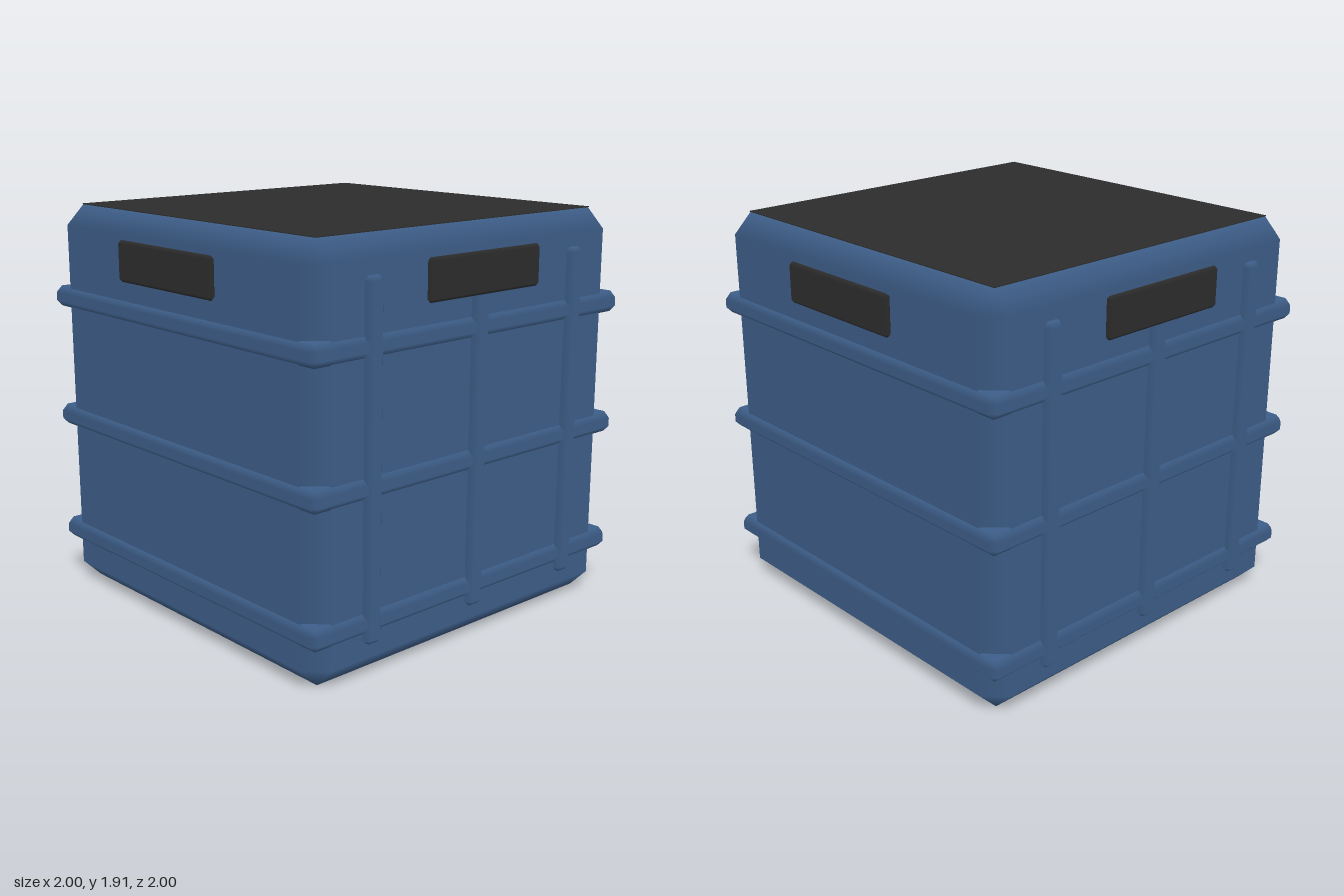
import * as THREE from 'three';
import { ConvexGeometry } from 'three/addons/geometries/ConvexGeometry.js';

// Box with single-step bevels; normals follow the flat faces so bevels shade smoothly
function bevelBox(w, h, d, bevel) {
  const half = [w / 2, h / 2, d / 2];
  const points = [];
  for (const sx of [-1, 1]) for (const sy of [-1, 1]) for (const sz of [-1, 1]) {
    for (let axis = 0; axis < 3; axis++) {
      const c = half.map((v, i) => (i === axis ? v : v - bevel));
      points.push(new THREE.Vector3(sx * c[0], sy * c[1], sz * c[2]));
    }
  }
  const geometry = new ConvexGeometry(points);
  const pos = geometry.attributes.position;
  const normal = geometry.attributes.normal;
  for (let i = 0; i < pos.count; i++) {
    const p = [pos.getX(i), pos.getY(i), pos.getZ(i)];
    const n = p.map((v, a) => (Math.abs(v) > half[a] - bevel / 2 ? Math.sign(v) : 0));
    normal.setXYZ(i, n[0], n[1], n[2]);
  }
  return geometry;
}

export function createModel() {
  const model = new THREE.Group();
  model.name = 'crate';
  const blue = new THREE.MeshStandardMaterial({ color: 0x3e5f8a });
  blue.name = 'blue';
  const black = new THREE.MeshStandardMaterial({ color: 0x2d2d2d });
  black.name = 'black';

  const add = (name, geometry, material, x, y, z, turn = 0) => {
    const mesh = new THREE.Mesh(geometry, material);
    mesh.name = name;
    mesh.position.set(x, y, z);
    mesh.rotation.y = turn;
    model.add(mesh);
  };

  // Main body and its dark top panel
  add('body', bevelBox(1.9, 1.91, 1.9, 0.095), blue, 0, 0.955, 0);
  add('topPanel', new THREE.BoxGeometry(1.718, 0.004, 1.718), black, 0, 1.91, 0);

  // Horizontal bands around all four sides
  const band = bevelBox(1.95, 0.1, 1.95, 0.03);
  for (const y of [0.26, 0.86, 1.46]) add('band', band, blue, 0, y, 0);

  // Upright ribs on the front and back
  const rib = bevelBox(0.09, 1.585, 0.07, 0.02);
  for (const side of [-1, 1]) {
    for (const x of [-0.635, 0, 0.635]) add('rib', rib, blue, x, 0.9575, side * 0.95);
  }

  // One handle plate per side
  const handle = bevelBox(0.7, 0.19, 0.035, 0.015);
  for (let i = 0; i < 4; i++) {
    const a = (i * Math.PI) / 2;
    add('handle', handle, black, Math.sin(a) * 0.9825, 1.7, Math.cos(a) * 0.9825, a);
  }
  return model;
}
